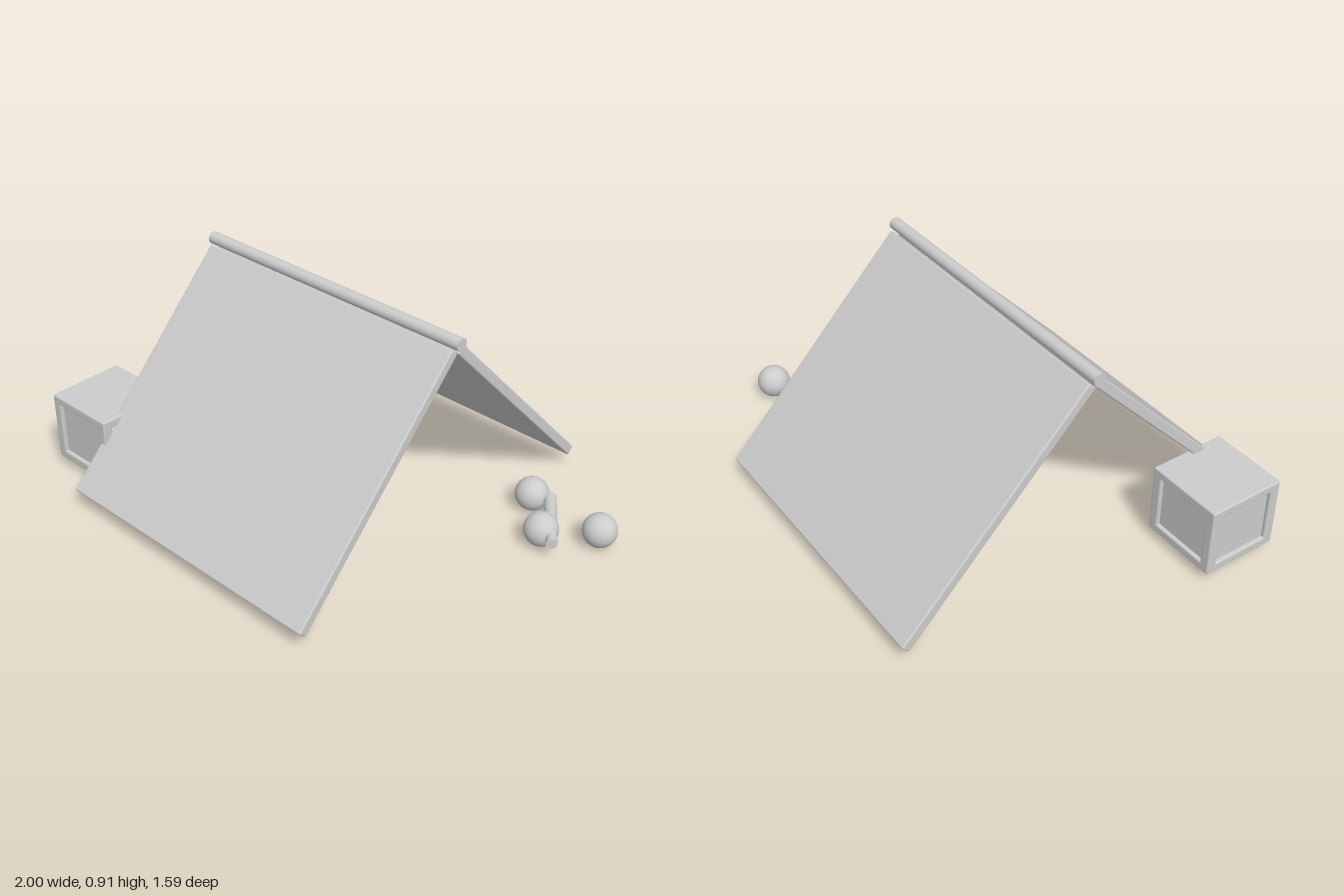
import * as THREE from 'three';
import { RoundedBoxGeometry } from 'three/addons/geometries/RoundedBoxGeometry.js';

const grey = new THREE.MeshStandardMaterial({ color: 0xcccccc });
grey.name = 'plain grey';

function add(parent, name, geometry, x = 0, y = 0, z = 0) {
  const mesh = new THREE.Mesh(geometry, grey);
  mesh.name = name;
  mesh.position.set(x, y, z);
  parent.add(mesh);
  return mesh;
}

// Tapered rod running from point a to point b
function rod(parent, name, a, b, ra, rb) {
  const dir = b.clone().sub(a);
  const mesh = add(parent, name, new THREE.CylinderGeometry(rb, ra, dir.length(), 24));
  mesh.position.copy(a).add(b).multiplyScalar(0.5);
  mesh.quaternion.setFromUnitVectors(new THREE.Vector3(0, 1, 0), dir.normalize());
}

function createTent() {
  const tent = new THREE.Group();
  tent.name = 'tent';
  const length = 1.104, thick = 0.042, width = 1.241, midX = -0.085;
  const tilt = Math.atan2(0.795, 0.766);
  // Two sloping panels meeting under the ridge
  for (const side of [1, -1]) {
    const panel = add(tent, side > 0 ? 'frontPanel' : 'backPanel',
      new RoundedBoxGeometry(width, thick, length, 3, 0.007));
    panel.position.set(midX,
      0.855 - Math.sin(tilt) * length / 2 + Math.cos(tilt) * thick / 2,
      side * (Math.cos(tilt) * length / 2 + Math.sin(tilt) * thick / 2));
    panel.rotation.x = side * tilt;
  }
  // Ridge pole
  rod(tent, 'ridgePole', new THREE.Vector3(-0.721, 0.898, 0), new THREE.Vector3(0.551, 0.898, 0), 0.025, 0.025);
  return tent;
}

function createCrate() {
  const crate = new THREE.Group();
  crate.name = 'crate';
  crate.position.set(-0.838, 0.193, 0.49);
  const size = 0.324, height = 0.293, post = 0.042, rail = 0.037, inset = 0.016;
  add(crate, 'crateCore', new THREE.BoxGeometry(size - 2 * inset, height - rail, size - 2 * inset));
  // Flat lid and base, whose edges form the rails
  for (const s of [1, -1]) {
    add(crate, s > 0 ? 'crateLid' : 'crateBase',
      new RoundedBoxGeometry(size, rail, size, 3, 0.007), 0, s * (height - rail) / 2, 0);
  }
  // Corner posts
  for (const sx of [1, -1]) for (const sz of [1, -1]) {
    add(crate, 'cratePost', new RoundedBoxGeometry(post, height - 0.006, post, 3, 0.007),
      sx * (size - post) / 2, 0, sz * (size - post) / 2);
  }
  return crate;
}

function createBalls() {
  const group = new THREE.Group();
  group.name = 'ballsAndStick';
  for (const [x, z] of [[0.602, -0.428], [0.765, -0.265], [0.932, -0.41]]) {
    add(group, 'ball', new THREE.SphereGeometry(0.068, 32, 20), x, 0.077, z);
  }
  // Stick leaning past two of the balls
  rod(group, 'stick', new THREE.Vector3(0.668, 0.076, -0.455), new THREE.Vector3(0.855, 0.083, -0.208), 0.026, 0.021);
  return group;
}

export function createModel() {
  const model = new THREE.Group();
  model.name = 'campsite';
  model.add(createTent(), createCrate(), createBalls());
  return model;
}
